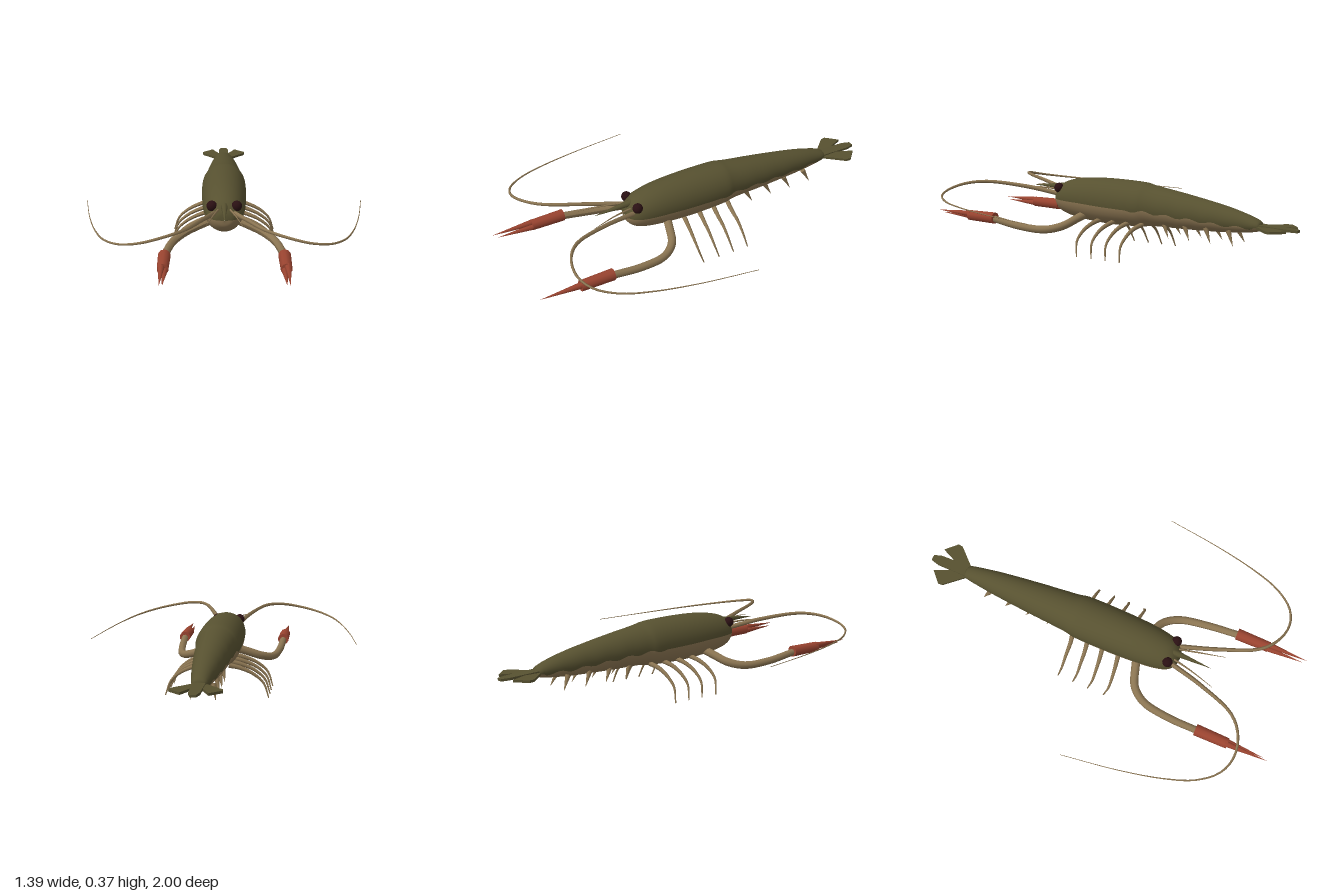
import * as THREE from 'three';

const mat = (name, color) => {
  const m = new THREE.MeshStandardMaterial({ color });
  m.name = name;
  return m;
};
const V = (p) => new THREE.Vector3(...p);

// Smooth body with an upper shell and a belly sharing one scalloped seam
function bodyGeometry() {
  // z, top, bottom, half width, seam height
  const rows = [
    [0.402, 0.25, 0.246, 0.003, 0.248],
    [0.393, 0.29, 0.212, 0.045, 0.249],
    [0.36, 0.33, 0.18, 0.077, 0.249],
    [0.3, 0.353, 0.161, 0.095, 0.248],
    [0.2, 0.369, 0.147, 0.106, 0.246],
    [0.05, 0.375, 0.139, 0.112, 0.24],
    [-0.13, 0.371, 0.144, 0.112, 0.236],
    [-0.21, 0.358, 0.154, 0.1, 0.234],
    [-0.4, 0.33, 0.157, 0.084, 0.222],
    [-0.6, 0.295, 0.164, 0.064, 0.208],
    [-0.72, 0.266, 0.174, 0.048, 0.203],
    [-0.79, 0.241, 0.186, 0.036, 0.205],
    [-0.806, 0.224, 0.198, 0.02, 0.208],
    [-0.808, 0.212, 0.209, 0.003, 0.21],
  ];
  const outline = new THREE.CatmullRomCurve3(rows.map((r) => V([r[0], r[1], r[2]])), false, 'catmullrom');
  const sides = new THREE.CatmullRomCurve3(rows.map((r) => V([r[3], r[4], 0])), false, 'catmullrom');
  const rings = 104, half = 16, n = half * 2;
  const pos = [], upper = [], lower = [];
  for (let i = 0; i <= rings; i++) {
    const { x: z, y: top, z: bottom } = outline.getPoint(i / rings);
    const { x: w, y: seam } = sides.getPoint(i / rings);
    const cy = (top + bottom) / 2, h = Math.max((top - bottom) / 2, 0.001);
    const wave = z < -0.1 && z > -0.77 ? 0.007 * Math.sin((z + 0.1) * 2 * Math.PI / 0.125) : 0;
    const a = Math.asin(THREE.MathUtils.clamp((seam + wave - cy) / h, -0.9, 0.9));
    for (let j = 0; j < n; j++) {
      const t = j < half
        ? a + (Math.PI - 2 * a) * j / half
        : Math.PI - a + (Math.PI + 2 * a) * (j - half) / half;
      pos.push(w * Math.cos(t), cy + h * Math.sin(t), z);
    }
  }
  for (let i = 0; i < rings; i++) {
    for (let j = 0; j < n; j++) {
      const a = i * n + j, b = i * n + (j + 1) % n;
      (j < half ? upper : lower).push(a, a + n, b, b, a + n, b + n);
    }
  }
  const g = new THREE.BufferGeometry();
  g.setAttribute('position', new THREE.Float32BufferAttribute(pos, 3));
  g.setIndex([...upper, ...lower]);
  g.addGroup(0, upper.length, 0);
  g.addGroup(upper.length, lower.length, 1);
  g.computeVertexNormals();
  return g;
}

// Tube along points whose radius runs from r0 to r1
function taperedTube(points, r0, r1, segments = 20, radial = 8, power = 1) {
  const curve = new THREE.CatmullRomCurve3(points.map(V));
  const g = new THREE.TubeGeometry(curve, segments, 1, radial, false);
  const p = g.attributes.position, v = new THREE.Vector3();
  for (let i = 0; i < p.count; i++) {
    const u = Math.floor(i / (radial + 1)) / segments;
    const c = curve.getPointAt(u);
    const r = r1 + (r0 - r1) * Math.pow(1 - u, power);
    v.fromBufferAttribute(p, i).sub(c).multiplyScalar(r).add(c);
    p.setXYZ(i, v.x, v.y, v.z);
  }
  g.computeVertexNormals();
  return g;
}

// Flat plate from [x, z] corners
function plate(corners, thickness) {
  const shape = new THREE.Shape(corners.map(([x, z]) => new THREE.Vector2(x, -z)));
  return new THREE.ExtrudeGeometry(shape, { depth: thickness, bevelEnabled: false })
    .rotateX(-Math.PI / 2);
}

// Cone running from a base point to a tip
function spike(base, tip, r, sides = 8) {
  const a = V(base), d = V(tip).sub(a), len = d.length();
  const g = new THREE.ConeGeometry(r, len, sides).translate(0, len / 2, 0);
  g.applyQuaternion(new THREE.Quaternion().setFromUnitVectors(new THREE.Vector3(0, 1, 0), d.normalize()));
  return g.translate(...base);
}

export function createModel() {
  const model = new THREE.Group();
  const shell = mat('olive shell', 0x575130);
  const tan = mat('tan belly and limbs', 0x8b7552);
  const red = mat('rust claw', 0x9a4430);
  const dark = mat('dark eye', 0x2a1013);
  const add = (name, geometry, material) => {
    const mesh = new THREE.Mesh(geometry, material);
    mesh.name = name;
    model.add(mesh);
    return mesh;
  };

  add('body', bodyGeometry(), [shell, tan]);
  add('rostrum', spike([0, 0.312, 0.33], [0, 0.302, 0.57], 0.021), shell);

  // Tail fan
  const telson = add('telson', plate([[-0.03, 0], [0.03, 0], [0.026, -0.18], [0.014, -0.222], [-0.014, -0.222], [-0.026, -0.18]], 0.012), shell);
  telson.position.set(0, 0.21, -0.778);
  telson.rotation.x = -0.04;

  for (const s of [1, -1]) {
    const side = s > 0 ? 'left' : 'right';
    const m = (pts) => pts.map(([x, ...rest]) => [x * s, ...rest]);
    const one = (p) => m([p])[0];

    const lobe = add(side + 'TailLobe', plate(m([[0.012, -0.785], [0.03, -0.79], [0.117, -0.885], [0.12, -0.91], [0.064, -0.965], [0.024, -0.875]]), 0.012), shell);
    lobe.position.y = 0.202;

    // Head
    add(side + 'Eye', new THREE.SphereGeometry(0.026, 16, 12).translate(s * 0.06, 0.309, 0.357), dark);
    add(side + 'Antennule', taperedTube(m([[0.025, 0.295, 0.36], [0.052, 0.302, 0.48], [0.086, 0.295, 0.61]]), 0.006, 0.001, 8, 6), tan);
    add(side + 'Antenna', taperedTube(m([
      [0.045, 0.275, 0.36], [0.105, 0.308, 0.56], [0.185, 0.326, 0.75], [0.27, 0.32, 0.82],
      [0.375, 0.3, 0.842], [0.466, 0.282, 0.81], [0.545, 0.267, 0.715], [0.6, 0.257, 0.57],
      [0.65, 0.247, 0.35], [0.694, 0.238, 0.06],
    ]), 0.013, 0.0015, 48, 6, 1.6), tan);

    // Claw arm and pincer
    add(side + 'ClawArm', taperedTube(m([
      [0.05, 0.185, 0.19], [0.11, 0.165, 0.208], [0.19, 0.135, 0.24], [0.243, 0.118, 0.31],
      [0.27, 0.124, 0.45], [0.28, 0.15, 0.63],
    ]), 0.022, 0.018, 28, 10), tan);
    add(side + 'ClawPalm', new THREE.CylinderGeometry(0.027, 0.03, 0.175, 10).rotateX(Math.PI / 2)
      .translate(s * 0.28, 0.153, 0.7), red);
    add(side + 'ClawFingerUpper', spike(one([0.287, 0.162, 0.775]), one([0.286, 0.163, 1]), 0.017), red);
    add(side + 'ClawFingerLower', spike(one([0.271, 0.146, 0.775]), one([0.274, 0.15, 0.975]), 0.016), red);

    // Walking legs, fanned slightly
    [0.1, 0.01, -0.075, -0.16].forEach((z, i) => {
      const bow = 0.014 - i * 0.002;
      add(side + 'WalkingLeg' + (i + 1), taperedTube(m([
        [0.06, 0.165, z - 0.005], [0.12, 0.15, z + 0.006], [0.185, 0.12, z + bow],
        [0.235, 0.075, z + bow], [0.262, 0.003, z - 0.004],
      ]), 0.013, 0.003, 18, 8), tan);
    });

    // Swimmerets under the abdomen
    [-0.285, -0.405, -0.525, -0.65].forEach((z, i) => {
      add(side + 'Swimmeret' + (i + 1), spike(one([0.045, 0.182, z]), one([0.06, 0.109, z - 0.036]), 0.014), tan);
    });
  }
  return model;
}
